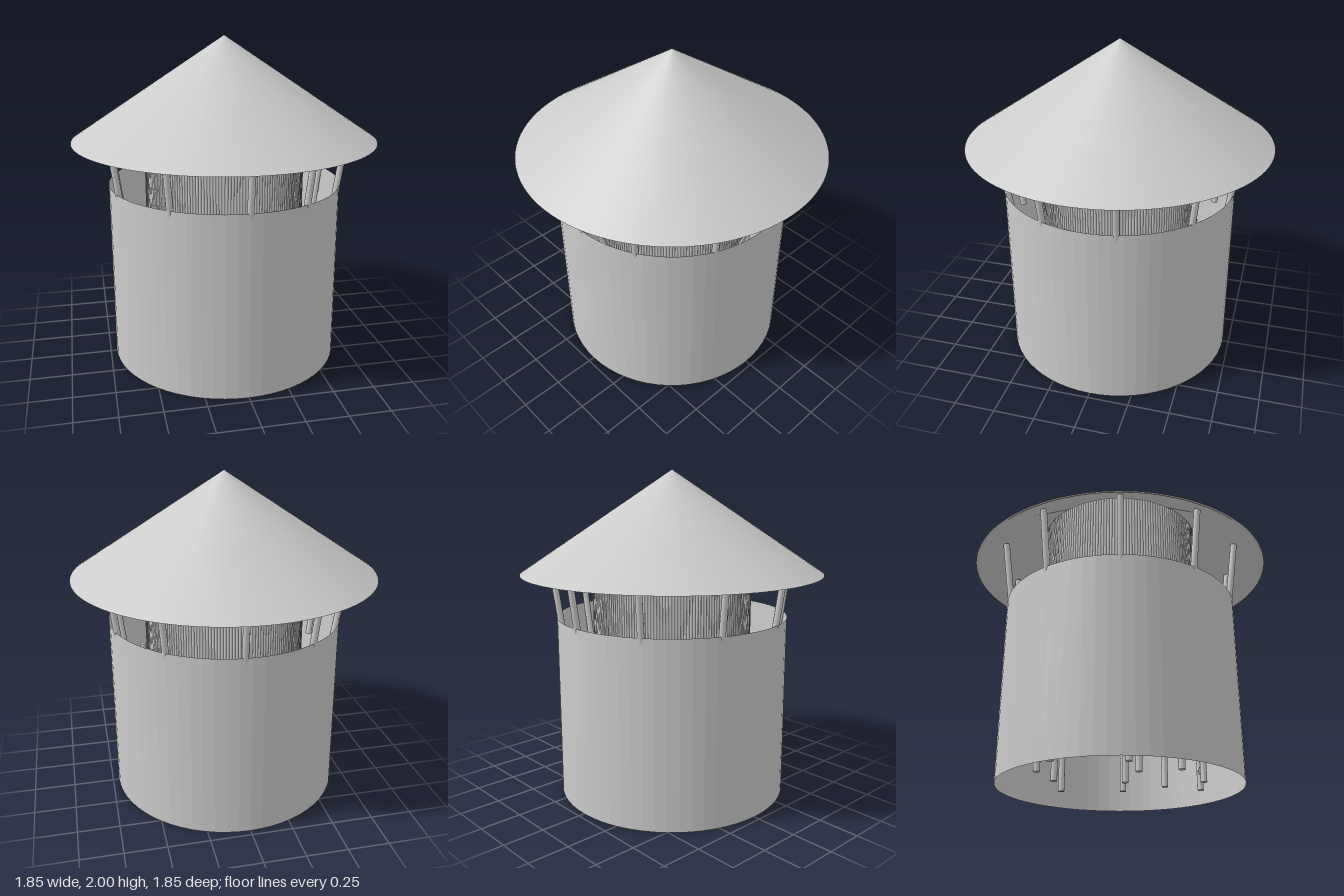
import * as THREE from 'three';
import { mergeGeometries } from 'three/addons/utils/BufferGeometryUtils.js';

const material = new THREE.MeshStandardMaterial({ color: 0xcccccc });
const thin = new THREE.MeshStandardMaterial({ color: 0xcccccc, side: THREE.DoubleSide });
const flatThin = new THREE.MeshStandardMaterial({ color: 0xcccccc, side: THREE.DoubleSide, flatShading: true });

// A round pole between two points
function pole(a, b, radius, sides = 12) {
  const dir = b.clone().sub(a);
  const geo = new THREE.CylinderGeometry(radius, radius, dir.length(), sides);
  geo.applyQuaternion(new THREE.Quaternion().setFromUnitVectors(new THREE.Vector3(0, 1, 0), dir.normalize()));
  const mid = a.clone().add(b).multiplyScalar(0.5);
  return geo.translate(mid.x, mid.y, mid.z);
}

const around = (angle, r, y) => new THREE.Vector3(r * Math.sin(angle), y, r * Math.cos(angle));

export function createModel() {
  const group = new THREE.Group();
  const add = (name, geo, mat = material) => {
    const mesh = new THREE.Mesh(geo, mat);
    mesh.name = name;
    group.add(mesh);
  };

  const wallR = 0.712, wallTop = 1.12;
  const roofR = 0.925, eaveY = 1.385, peakY = 2;
  const floorY = 0.8, stiltY = 0.06;

  // Open round outer wall
  add('outerWall', new THREE.CylinderGeometry(wallR, wallR, wallTop, 64, 1, true).translate(0, wallTop / 2, 0), flatThin);

  // Conical roof: outer skin, inner skin and narrow rim
  add('roof', new THREE.ConeGeometry(roofR, peakY - eaveY, 96, 1, true).translate(0, (peakY + eaveY) / 2, 0), thin);
  const innerR = roofR - 0.015, innerPeak = peakY - 0.015;
  add('roofLining', new THREE.ConeGeometry(innerR, innerPeak - eaveY, 96, 1, true).translate(0, (innerPeak + eaveY) / 2, 0), thin);
  add('roofRim', new THREE.RingGeometry(innerR, roofR, 96).rotateX(Math.PI / 2).translate(0, eaveY, 0), thin);

  // Ten roof posts leaning outwards, unevenly closed around the ring
  const postRadius = (y) => 0.735 + 0.14 * (y - 1.39);
  for (let i = 0; i < 10; i++) {
    const angle = -THREE.MathUtils.degToRad(330 / 9) * i;
    add('roofPost', pole(around(angle, postRadius(0.85), 0.85), around(angle, postRadius(1.485), 1.485), 0.02));
  }

  // Inner store: a ring of thin upright sticks on a floor
  const sticks = [];
  const stickCount = 180;
  for (let i = 0; i < stickCount; i++) {
    const angle = (i / stickCount) * Math.PI * 2;
    sticks.push(pole(around(angle, 0.48, floorY), around(angle, 0.48, 1.65), 0.0095, 8));
  }
  add('stickWall', mergeGeometries(sticks));
  add('innerFloor', new THREE.CylinderGeometry(0.5, 0.5, 0.03, 48).translate(0, floorY, 0));

  // Stilts carrying the inner floor
  const stilts = [
    [0.32, 0.19], [0.37, -0.09], [-0.08, 0.38], [0.14, -0.01], [-0.1, 0.14],
    [0.26, -0.46], [-0.34, 0.15], [-0.02, -0.4], [-0.26, -0.41], [-0.46, -0.25],
  ];
  for (const [x, z] of stilts) {
    add('stilt', pole(new THREE.Vector3(x, stiltY, z), new THREE.Vector3(x, floorY, z), 0.02));
  }

  // Ladder: two rails and evenly spaced rungs
  const railA = new THREE.Vector3(0.475, stiltY, 0.38);
  const railB = new THREE.Vector3(0.26, stiltY, 0.44);
  const up = (p, y) => new THREE.Vector3(p.x, y, p.z);
  for (const rail of [railA, railB]) add('ladderRail', pole(rail, up(rail, floorY), 0.02));
  for (let y = 0.17; y < floorY; y += 0.12) {
    add('ladderRung', pole(up(railA, y), up(railB, y), 0.015));
  }

  return group;
}
